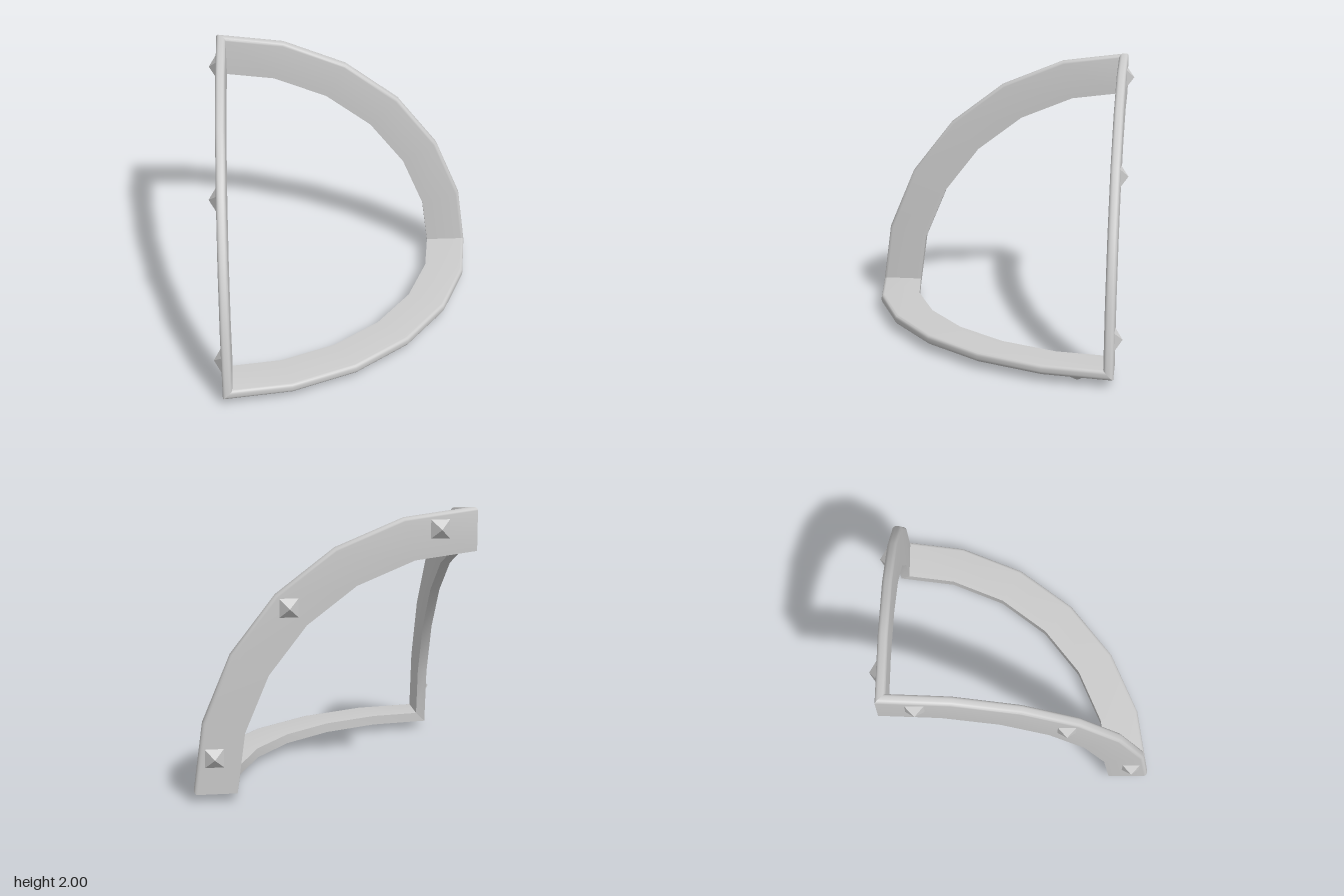
import * as THREE from 'three';
import { toCreasedNormals } from 'three/addons/utils/BufferGeometryUtils.js';

const OUTER = 1.945, INNER = 1.645, THICK = 0.07, ROUND = 0.025, STEPS = 6;

// Cross-section as [radius, depth]: rounded outer rim, square inner rim
function section() {
  const pts = [];
  for (let k = 0; k < 2; k++) {
    for (let i = 0; i <= 4; i++) {
      const a = (i / 4 + k) * Math.PI / 2;
      const mid = k ? THICK - ROUND : ROUND;
      pts.push([OUTER - ROUND + ROUND * Math.sin(a), mid - ROUND * Math.cos(a)]);
    }
  }
  pts.push([INNER, THICK], [INNER, 0]);
  return pts;
}

// Flat quarter ring in the xy plane, both ends mitred at 45 degrees
function arcGeometry() {
  const profile = section(), n = profile.length;
  const step = Math.PI / 2 / STEPS, slope = Math.tan(step / 2);
  const pos = [], index = [];
  for (let s = 0; s <= STEPS; s++) {
    for (const [r, t] of profile) {
      if (s === 0) pos.push(t, r - t * slope, t);
      else if (s === STEPS) pos.push(r - t * slope, t, t);
      else pos.push(r * Math.sin(s * step), r * Math.cos(s * step), t);
    }
  }
  for (let s = 0; s < STEPS; s++) {
    for (let i = 0; i < n; i++) {
      const j = (i + 1) % n;
      const a = s * n + i, b = s * n + j, c = b + n, d = a + n;
      index.push(a, b, c, a, c, d);
    }
  }
  const geo = new THREE.BufferGeometry();
  geo.setAttribute('position', new THREE.Float32BufferAttribute(pos, 3));
  geo.setIndex(index);
  return toCreasedNormals(geo, 0.6);
}

export function createModel() {
  const model = new THREE.Group();
  model.name = 'sphericalTriangleFrame';
  const smooth = new THREE.MeshStandardMaterial({ color: 0xcccccc });
  const faceted = new THREE.MeshStandardMaterial({ color: 0xcccccc, flatShading: true });
  const arcGeo = arcGeometry();

  // Square pyramid stud pointing out of the flat face
  const studGeo = new THREE.ConeGeometry(0.065 * Math.SQRT2, 0.055, 4);
  studGeo.rotateY(Math.PI / 4).rotateX(-Math.PI / 2).translate(0, 0, -0.0275);

  // Three identical sides, turned about the corner diagonal
  const diagonal = new THREE.Vector3(1, 1, 1).normalize();
  ['backSide', 'rightSide', 'bottomSide'].forEach((name, k) => {
    const side = new THREE.Group();
    side.name = name;
    side.quaternion.setFromAxisAngle(diagonal, k * Math.PI * 2 / 3);
    side.position.set(-0.945, 0.055, -0.945);

    const arc = new THREE.Mesh(arcGeo, smooth);
    arc.name = 'arc';
    side.add(arc);

    for (const [x, y] of [[0.255, 1.8], [1.285, 1.285], [1.8, 0.255]]) {
      const stud = new THREE.Mesh(studGeo, faceted);
      stud.name = 'stud';
      stud.position.set(x, y, 0);
      side.add(stud);
    }
    model.add(side);
  });
  return model;
}
